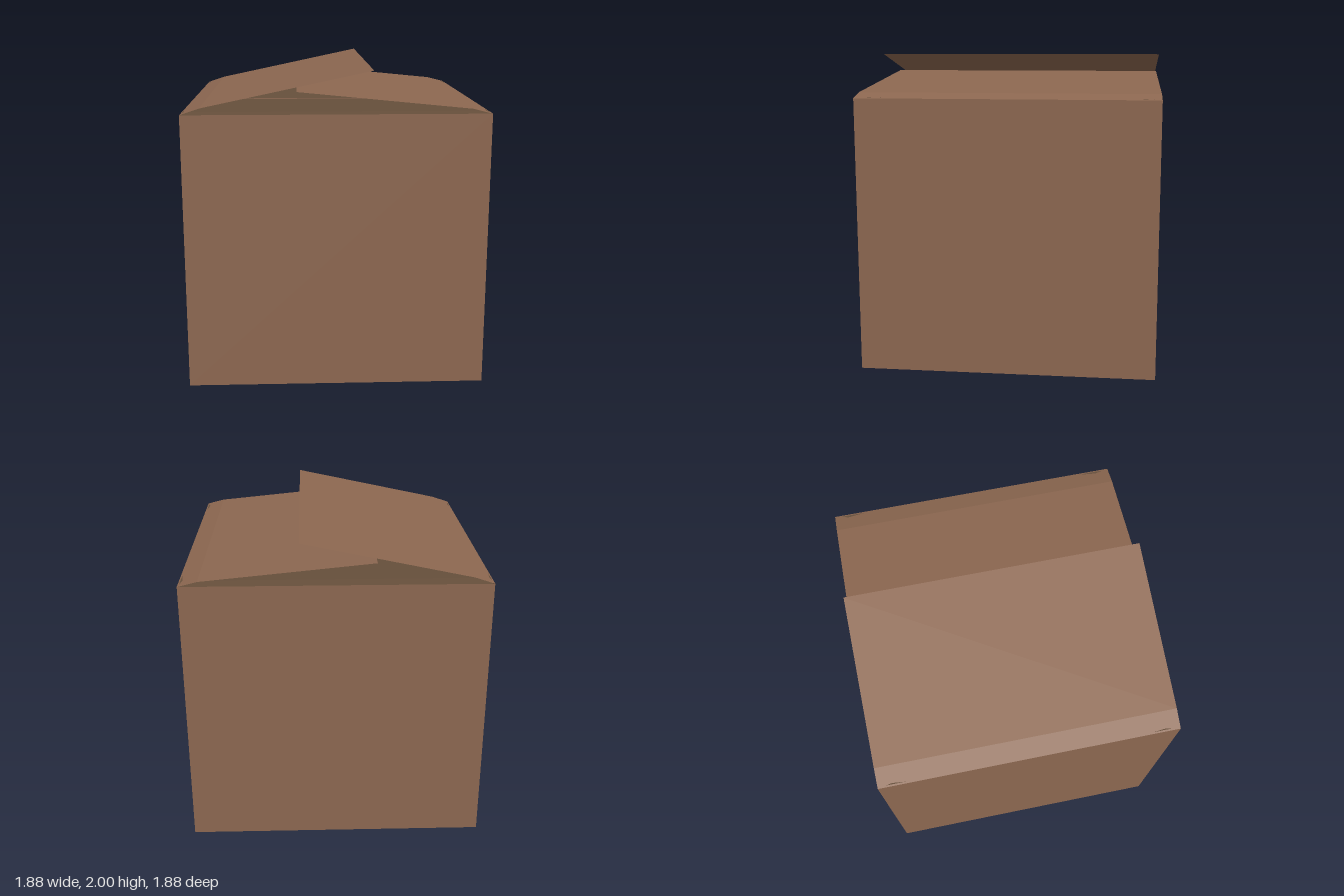
import * as THREE from 'three';

const W = 0.94, H = 1.74;

// Sheet following an (x, y) profile, extended along z, with hard folds.
function foldedSheet(profile, depth) {
  const pos = [];
  for (let i = 0; i < profile.length - 1; i++) {
    const [x0, y0] = profile[i], [x1, y1] = profile[i + 1];
    pos.push(x0, y0, depth, x1, y1, depth, x1, y1, -depth);
    pos.push(x0, y0, depth, x1, y1, -depth, x0, y0, -depth);
  }
  const geo = new THREE.BufferGeometry();
  geo.setAttribute('position', new THREE.Float32BufferAttribute(pos, 3));
  geo.computeVertexNormals();
  return geo;
}

export function createModel() {
  const model = new THREE.Group();
  model.name = 'cardboardBox';
  const cardboard = new THREE.MeshStandardMaterial({ name: 'cardboard brown', color: 0x8c6750, side: THREE.DoubleSide });
  const inner = new THREE.MeshStandardMaterial({ name: 'inner flap brown', color: 0x664f3b, side: THREE.DoubleSide });

  const add = (name, geo, mat) => {
    const mesh = new THREE.Mesh(geo, mat);
    mesh.name = name;
    model.add(mesh);
    return mesh;
  };

  // Four walls
  ['frontWall', 'leftWall', 'backWall', 'rightWall'].forEach((name, i) => {
    const wall = new THREE.PlaneGeometry(2 * W, H).translate(0, H / 2, W).rotateY(i * Math.PI / 2);
    add(name, wall, cardboard);
  });

  // Floor
  add('floor', new THREE.PlaneGeometry(2 * W, 2 * W).rotateX(Math.PI / 2), cardboard);

  // Outer flaps, creased near the hinge and overlapping above the opening
  add('upperFlap', foldedSheet([[-W, H], [-0.82, 1.78], [0.22, 2]], W), cardboard);
  add('lowerFlap', foldedSheet([[-0.24, 1.875], [0.82, 1.77], [W, H]], W), cardboard);

  // Inner flaps, lying almost flat under the outer ones
  const sag = [[-W, H], [-0.85, 1.746], [-0.02, 1.72]];
  add('frontInnerFlap', foldedSheet(sag, W - 0.01).rotateY(Math.PI / 2), inner);
  add('backInnerFlap', foldedSheet(sag, W - 0.01).rotateY(-Math.PI / 2), inner);

  return model;
}
